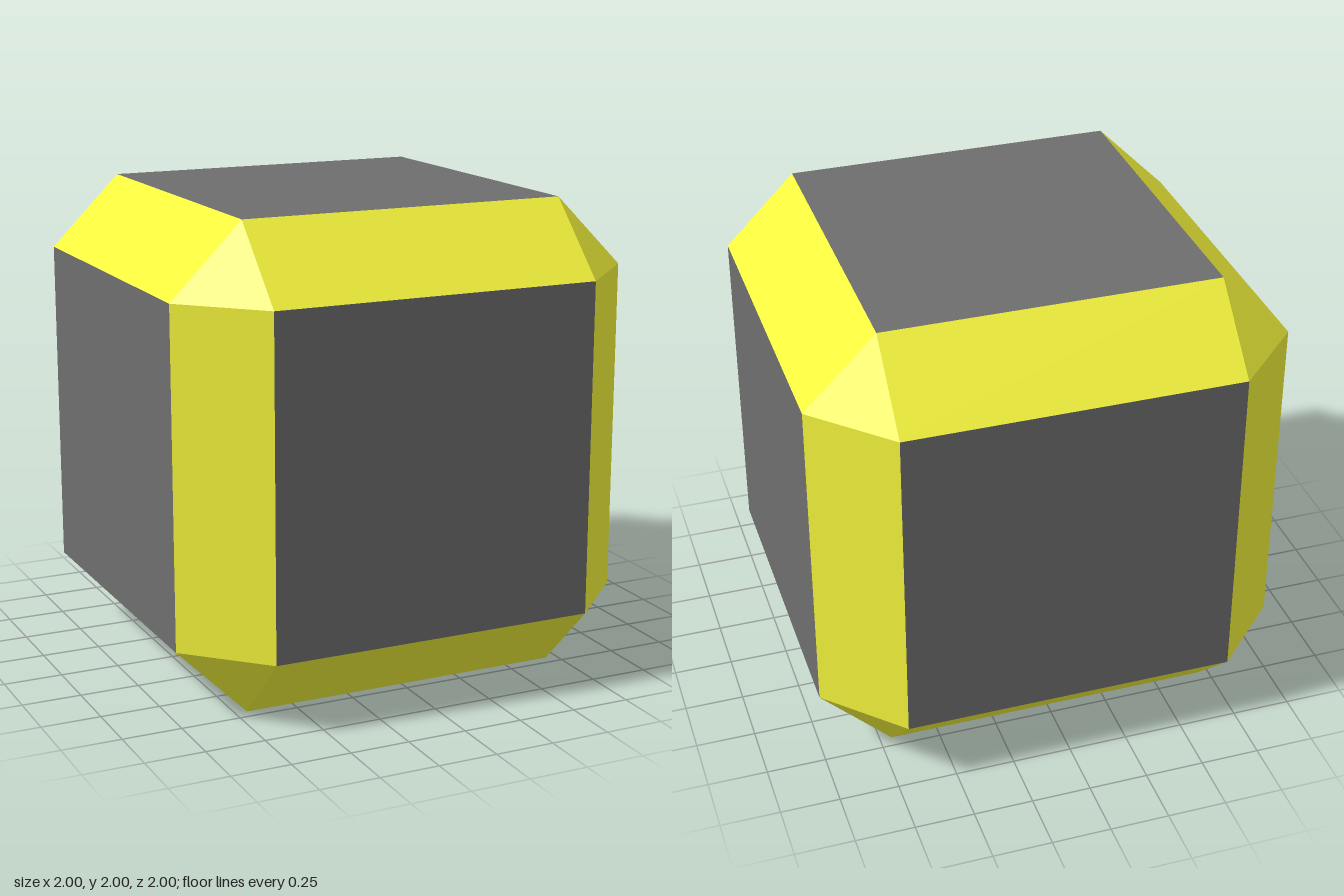
import * as THREE from 'three';

const FLAT = 0.7; // half size of each square panel
const OUT = 1;    // distance of the panels from the centre

// Panel corner nearest to the cube corner with these signs, on the panel facing the axis
const corner = (signs, axis) =>
  new THREE.Vector3(...signs.map((s, i) => s * (i === axis ? OUT : FLAT)));

// Flat convex polygon as a triangle fan, wound to face away from the centre
function addPolygon(positions, points) {
  const [a, b, c] = points;
  const normal = b.clone().sub(a).cross(c.clone().sub(a));
  const ring = normal.dot(a) < 0 ? [...points].reverse() : points;
  for (let i = 1; i < ring.length - 1; i++) {
    for (const p of [ring[0], ring[i], ring[i + 1]]) positions.push(p.x, p.y, p.z);
  }
}

function makeMesh(name, positions, material) {
  const geometry = new THREE.BufferGeometry();
  geometry.setAttribute('position', new THREE.Float32BufferAttribute(positions, 3));
  geometry.computeVertexNormals();
  const mesh = new THREE.Mesh(geometry, material);
  mesh.name = name;
  mesh.position.y = OUT;
  return mesh;
}

export function createModel() {
  const panels = [], bevels = [], corners = [];
  const grey = new THREE.MeshStandardMaterial({ color: 0x6e6e6e, flatShading: true });
  const yellow = new THREE.MeshStandardMaterial({ color: 0xf8f83d, flatShading: true });

  // Signs for the axes a, b and c, in x, y, z order
  const signs = (a, sa, b, sb, c, sc) => {
    const v = [0, 0, 0];
    v[a] = sa; v[b] = sb; v[c] = sc;
    return v;
  };

  for (let a = 0; a < 3; a++) {
    const b = (a + 1) % 3, c = (a + 2) % 3;
    for (const s of [-1, 1]) {
      // Square panel facing axis a
      addPolygon(panels, [[-1, -1], [1, -1], [1, 1], [-1, 1]]
        .map(([u, v]) => corner(signs(a, s, b, u, c, v), a)));
      // Sloped strips joining the panels of axes a and b
      for (const t of [-1, 1]) {
        const low = signs(a, s, b, t, c, -1), high = signs(a, s, b, t, c, 1);
        addPolygon(bevels, [corner(low, a), corner(high, a), corner(high, b), corner(low, b)]);
      }
    }
  }

  // Triangular corner caps
  for (const x of [-1, 1]) for (const y of [-1, 1]) for (const z of [-1, 1]) {
    addPolygon(corners, [0, 1, 2].map(axis => corner([x, y, z], axis)));
  }

  const model = new THREE.Group();
  model.name = 'bevelledCube';
  model.add(
    makeMesh('facePanels', panels, grey),
    makeMesh('edgeBevels', bevels, yellow),
    makeMesh('cornerCaps', corners, yellow),
  );
  return model;
}
